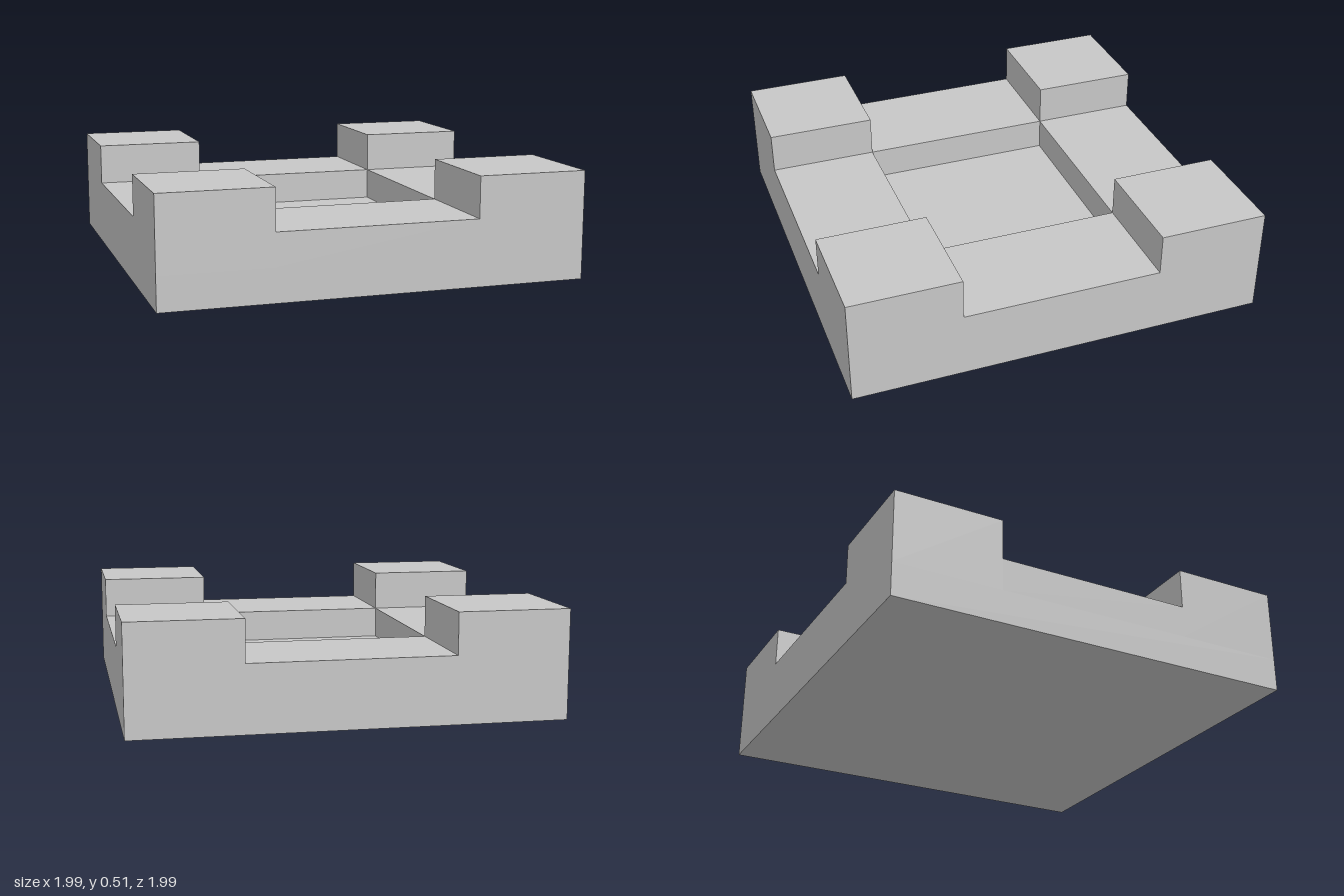
import * as THREE from 'three';

const HALF = 0.997;     // outer half width
const INNER = 0.475;    // half width of the recess
const FLOOR_Y = 0.16, WALL_Y = 0.315, CORNER_Y = 0.51;

export function createModel() {
  const model = new THREE.Group();
  model.name = 'squarePlatform';
  const grey = new THREE.MeshStandardMaterial({ color: 0xc7c7c7 });
  grey.name = 'lightGrey';

  // Box given by its lower and upper corners
  const addBox = (name, [x0, y0, z0], [x1, y1, z1]) => {
    const mesh = new THREE.Mesh(new THREE.BoxGeometry(x1 - x0, y1 - y0, z1 - z0), grey);
    mesh.position.set((x0 + x1) / 2, (y0 + y1) / 2, (z0 + z1) / 2);
    mesh.name = name;
    model.add(mesh);
  };

  // Floor slab under everything
  addBox('floorSlab', [-HALF, 0, -HALF], [HALF, FLOOR_Y, HALF]);

  // Raised corner blocks
  const spans = { min: [-HALF, -INNER], max: [INNER, HALF] };
  for (const [sideX, xs] of [['Right', spans.min], ['Left', spans.max]]) {
    for (const [sideZ, zs] of [['back', spans.min], ['front', spans.max]]) {
      addBox(`${sideZ}${sideX}Corner`, [xs[0], FLOOR_Y, zs[0]], [xs[1], CORNER_Y, zs[1]]);
    }
  }

  // Low walls between the corners
  addBox('rightWall', [-HALF, FLOOR_Y, -INNER], [-INNER, WALL_Y, INNER]);
  addBox('leftWall', [INNER, FLOOR_Y, -INNER], [HALF, WALL_Y, INNER]);
  addBox('backWall', [-INNER, FLOOR_Y, -HALF], [INNER, WALL_Y, -INNER]);
  addBox('frontWall', [-INNER, FLOOR_Y, INNER], [INNER, WALL_Y, HALF]);

  return model;
}
